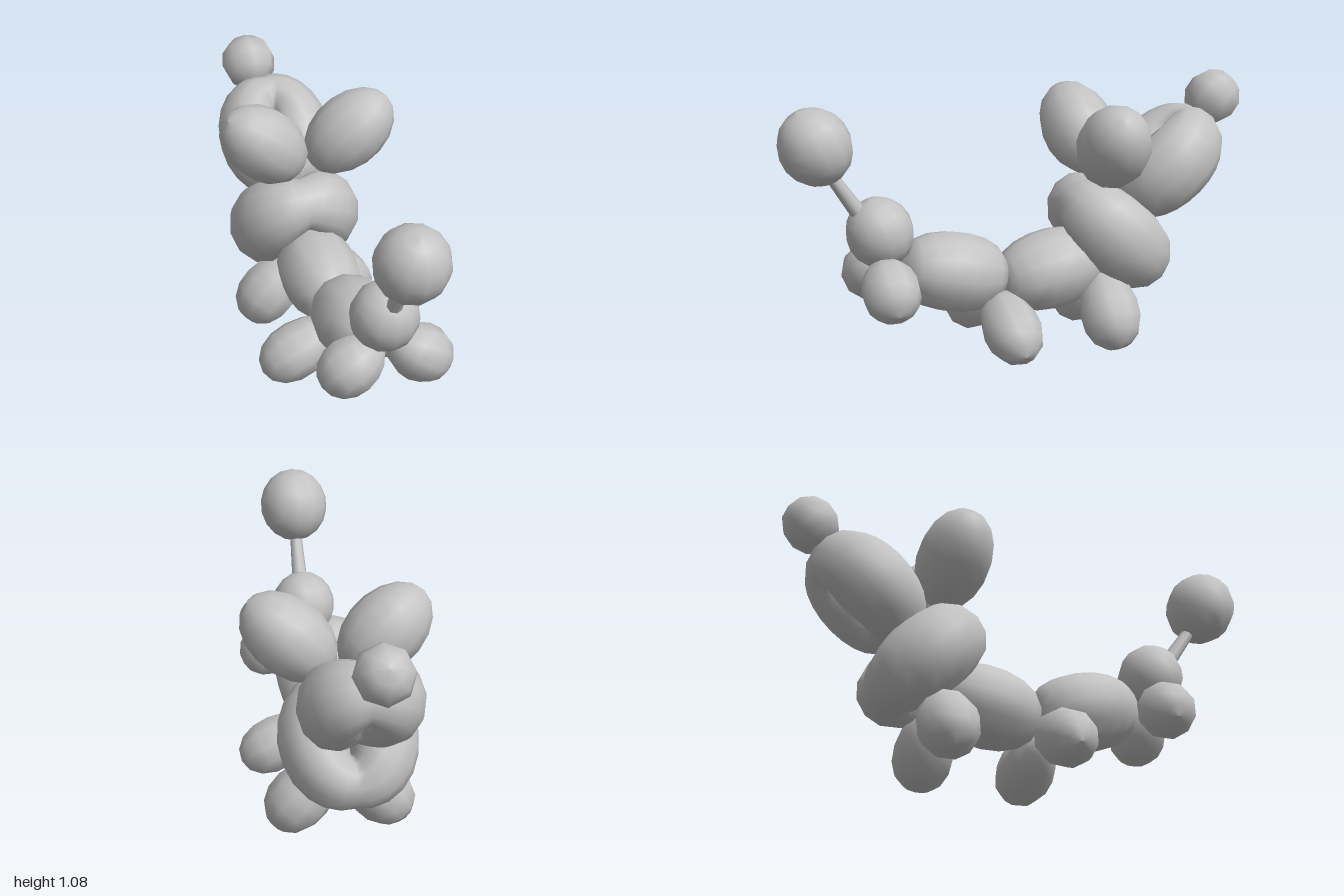
import * as THREE from 'three';
import { mergeVertices } from 'three/addons/utils/BufferGeometryUtils.js';

const UP = new THREE.Vector3(0, 1, 0);

export function createModel() {
  const group = new THREE.Group();
  const rubber = new THREE.MeshStandardMaterial({ color: 0xc2c2c2 });

  function add(name, geometry, position) {
    const mesh = new THREE.Mesh(geometry, rubber);
    mesh.name = name;
    mesh.position.set(...position);
    group.add(mesh);
    return mesh;
  }

  // Inflated segment along dir; fullness below 1 blunts the ends, taper narrows the near end
  function balloon(name, position, dir, halfLength, radius, { fullness = 1, taper = 0, sides = 12 } = {}) {
    const steps = Math.round(sides * 0.75);
    const profile = [];
    for (let i = 0; i <= steps; i++) {
      const t = (Math.PI * i) / steps;
      const y = -Math.cos(t);
      const r = i % steps === 0 ? 0 : radius * Math.pow(Math.sin(t), fullness) * (1 + taper * y);
      profile.push(new THREE.Vector2(r, y * halfLength));
    }
    const mesh = add(name, new THREE.LatheGeometry(profile, sides), position);
    mesh.quaternion.setFromUnitVectors(UP, new THREE.Vector3(...dir).normalize());
    return mesh;
  }

  // Folded segment: a flattened closed ring, fat at its sides and pinched at its ends
  function foldedLoop(name, position, tilt, pathX, pathY, sideRadius, endRadius, depth) {
    const g = new THREE.TorusGeometry(1, 0.3, 12, 24);
    const { position: p, uv } = g.attributes;
    for (let i = 0; i < p.count; i++) {
      const u = uv.getX(i) * Math.PI * 2;
      const v = uv.getY(i) * Math.PI * 2;
      const r = endRadius + (sideRadius - endRadius) * Math.abs(Math.cos(u));
      const out = r * Math.cos(v);
      p.setXYZ(i, (pathX + out) * Math.cos(u), (pathY + out) * Math.sin(u), r * depth * Math.sin(v));
    }
    g.deleteAttribute('uv');
    g.deleteAttribute('normal');
    const welded = mergeVertices(g, 1e-4);
    welded.computeVertexNormals();
    add(name, welded, position).rotation.x = tilt;
  }

  // Tail: round base, thin uninflated neck and bulb
  balloon('tailBase', [-0.01, 0.545, 0.6], [0, 1, 0.3], 0.145, 0.137);
  balloon('tailBulb', [-0.008, 0.915, 0.85], [0, 1, 0.5], 0.157, 0.146);
  const neck = add('tailNeck', new THREE.CylinderGeometry(0.024, 0.034, 0.26, 8), [-0.008, 0.71, 0.735]);
  neck.quaternion.setFromUnitVectors(UP, new THREE.Vector3(0, 0.83, 0.55).normalize());

  // Body: two blunt segments forming a shallow dip
  balloon('rearBody', [-0.015, 0.345, 0.295], [0, 0.2, 1], 0.225, 0.167, { fullness: 0.7 });
  balloon('frontBody', [-0.015, 0.31, -0.13], [0, 0.2, -1], 0.23, 0.167, { fullness: 0.7 });

  // Mirrored legs and ears
  for (const s of [1, -1]) {
    const side = s > 0 ? 'left' : 'right';
    balloon(side + 'TailLeg', [s * 0.14 - 0.004, 0.35, 0.603], [s * 0.8, -0.5, 0], 0.142, 0.118, { taper: 0.08, sides: 10 });
    balloon(side + 'MiddleLeg', [s * 0.178 - 0.015, 0.148, 0.128 - s * 0.012], [s * 0.85, -0.4, -s * 0.05], 0.185, 0.118, { taper: 0.15, sides: 10 });
    balloon(side + 'FrontLeg', [s * 0.15 - 0.015, 0.158, -0.33], [s * 0.65, -0.75, 0], 0.18, 0.125, { taper: 0.15, sides: 10 });
    balloon(side + 'Ear', [s * 0.186 - 0.002, 0.855, -0.32], [s * 0.7, 0.65, 0.12], 0.215, 0.152);
  }

  // Folded loops of the chest and muzzle
  foldedLoop('chestLoop', [-0.035, 0.44, -0.4], Math.PI / 4, 0.13, 0.185, 0.15, 0.1, 1.1);
  foldedLoop('muzzleLoop', [-0.038, 0.72, -0.642], -0.85, 0.105, 0.17, 0.138, 0.1, 1.16);

  // Nose bulb
  balloon('nose', [-0.075, 0.965, -0.885], [0, 0.6, -0.8], 0.118, 0.118, { sides: 8 });

  return group;
}
